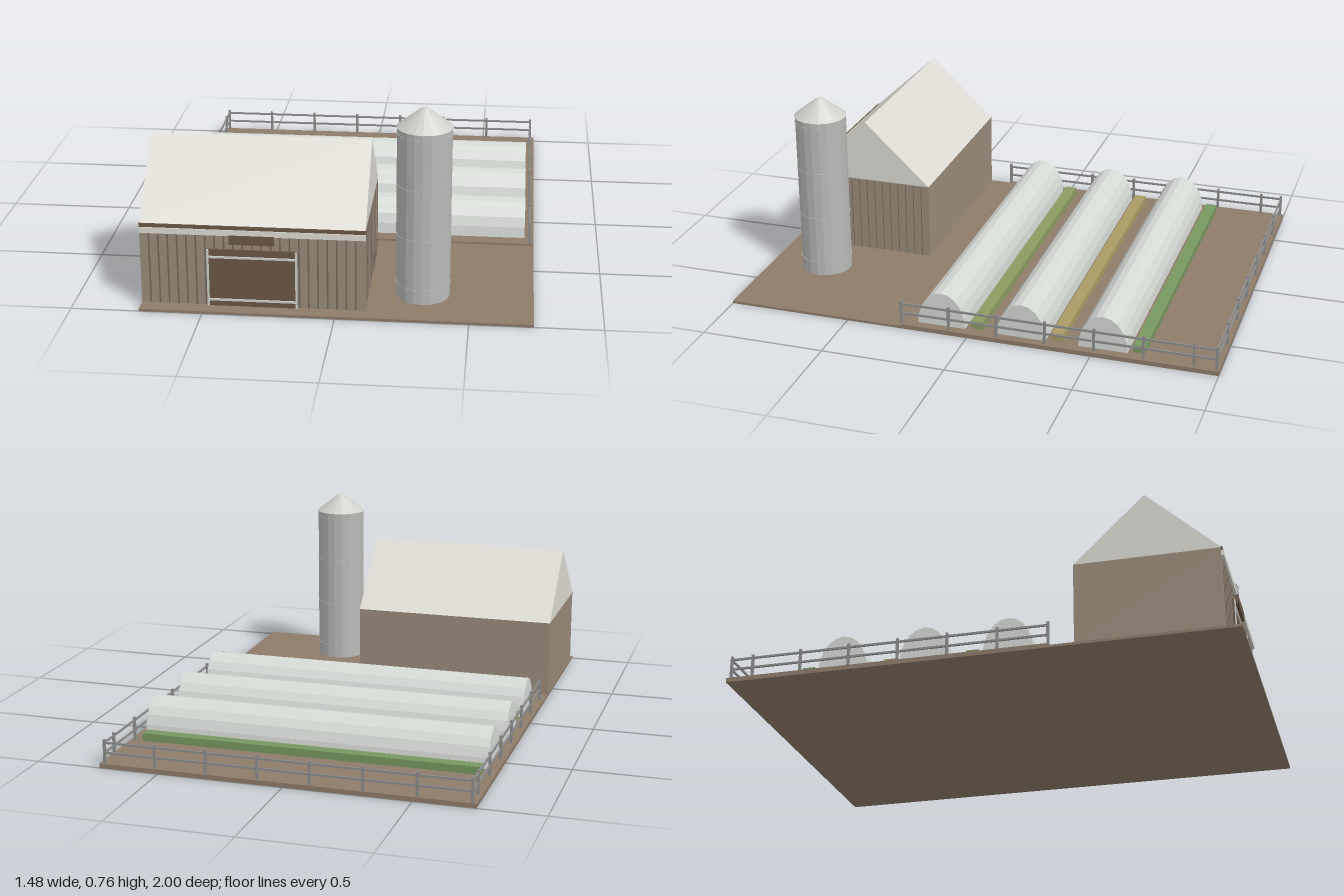
import * as THREE from 'three';

const mat = (color, flatShading = true) => new THREE.MeshStandardMaterial({ color, flatShading });
const M = {
  soil: mat(0x8f7c6a), wall: mat(0x9a8b7a), batten: mat(0x75685a), roof: mat(0xdedbd3),
  door: mat(0x6a5745), metal: mat(0xb9bab8), pale: mat(0xd0d0cb), cover: mat(0xd6dad5),
  fence: mat(0x8c8d8c),
};

function add(parent, name, geometry, material) {
  const mesh = new THREE.Mesh(geometry, material);
  mesh.name = name;
  parent.add(mesh);
  return mesh;
}

// Box given by its lower and upper corner
function box(parent, name, material, x0, x1, y0, y1, z0, z1) {
  const m = add(parent, name, new THREE.BoxGeometry(x1 - x0, y1 - y0, z1 - z0), material);
  m.position.set((x0 + x1) / 2, (y0 + y1) / 2, (z0 + z1) / 2);
  return m;
}

// Solid with a [z, y] section running along x
function prism(parent, name, material, section, x0, x1) {
  const shape = new THREE.Shape(section.map(([z, y]) => new THREE.Vector2(-z, y)));
  const geometry = new THREE.ExtrudeGeometry(shape, { depth: x1 - x0, bevelEnabled: false });
  geometry.rotateY(Math.PI / 2).translate(x0, 0, 0);
  return add(parent, name, geometry, material);
}

function group(parent, name) {
  const g = new THREE.Group();
  g.name = name;
  parent.add(g);
  return g;
}

function buildBarn(root) {
  const barn = group(root, 'barn');
  const x0 = -0.74, x1 = 0.11, front = 0.936, back = 0.378;
  box(barn, 'barnWalls', M.wall, x0, x1, 0.01, 0.33, back, front);
  prism(barn, 'barnRoof', M.roof, [[0.94, 0.33], [0.657, 0.592], [back, 0.33]], x0, x1 + 0.001);
  // Battens between the boards
  for (let i = 1; i < 24; i++) {
    const x = x0 + i * (x1 - x0) / 24;
    box(barn, 'frontBatten', M.batten, x - 0.003, x + 0.003, 0.01, 0.3, front, front + 0.002);
  }
  for (let i = 1; i < 16; i++) {
    const z = back + i * (front - back) / 16;
    box(barn, 'sideBatten', M.batten, x1, x1 + 0.001, 0.01, 0.33, z - 0.0015, z + 0.0015);
  }
  // Eave board and gutter
  box(barn, 'eaveBoard', M.door, x0, x1 + 0.003, 0.318, 0.334, front, 0.942);
  box(barn, 'gutter', M.roof, x0, x1 + 0.003, 0.297, 0.32, front, 0.946);
  // Sliding door with its frame
  box(barn, 'barnDoor', M.door, -0.485, -0.145, 0.01, 0.24, front, 0.944);
  for (const y of [0.036, 0.21]) box(barn, 'doorRail', M.pale, -0.485, -0.145, y - 0.004, y + 0.004, 0.944, 0.949);
  for (const x of [-0.482, -0.148]) box(barn, 'doorPost', M.pale, x - 0.004, x + 0.004, 0.01, 0.24, 0.944, 0.949);
  box(barn, 'blankBoard', M.door, -0.4, -0.23, 0.264, 0.3, front, 0.95);
}

function buildSilo(root) {
  const silo = group(root, 'silo');
  silo.position.set(0.316, 0, 0.765);
  const r = 0.104;
  add(silo, 'siloBody', new THREE.CylinderGeometry(r, r, 0.68, 20), M.metal).position.y = 0.35;
  add(silo, 'siloRoof', new THREE.CylinderGeometry(0.012, r + 0.003, 0.074, 20), M.pale).position.y = 0.727;
  for (const y of [0.066, 0.265, 0.465, 0.665]) {
    add(silo, 'siloBand', new THREE.CylinderGeometry(r + 0.002, r + 0.002, 0.006, 20), M.metal).position.y = y;
  }
}

function buildField(root) {
  const field = group(root, 'field');
  box(field, 'fieldSoil', M.soil, -0.74, 0.74, 0.01, 0.018, -1, 0.274);
  const rows = [
    [0.115, 0x8c9b60], [-0.213, 0xa99c64], [-0.54, 0x78975f],
  ];
  for (const [z, color] of rows) {
    // Arched cover with ten facets
    const arch = [];
    for (let i = 0; i <= 10; i++) {
      const a = Math.PI * i / 10;
      arch.push([z + 0.098 * Math.cos(a), 0.018 + 0.14 * Math.sin(a)]);
    }
    prism(field, 'polytunnel', M.cover, arch, -0.702, 0.702);
    // Crop bed behind it
    box(field, 'cropBed', mat(color), -0.687, 0.687, 0.018, 0.049, z - 0.166, z - 0.118);
  }
}

function buildFence(root) {
  const fence = group(root, 'fence');
  const X = 0.722, back = -0.988, front = 0.275, h = 0.005;
  const post = (x, z) => box(fence, 'fencePost', M.fence, x - h, x + h, 0.018, 0.113, z - h, z + h);
  for (const x of [-X, X]) {
    for (let z = front; z > back; z -= 0.196) post(x, z);
    for (const y of [0.06, 0.1]) box(fence, 'sideRail', M.fence, x - 0.003, x + 0.003, y - 0.004, y + 0.004, back, front);
  }
  for (let i = 0; i <= 7; i++) post(-X + i * 2 * X / 7, back);
  for (const y of [0.06, 0.1]) box(fence, 'backRail', M.fence, -X, X, y - 0.004, y + 0.004, back - 0.003, back + 0.003);
}

export function createModel() {
  const root = new THREE.Group();
  root.name = 'farm';
  box(root, 'ground', M.soil, -0.74, 0.74, 0, 0.01, -1, 1);
  buildBarn(root);
  buildSilo(root);
  buildField(root);
  buildFence(root);
  return root;
}
